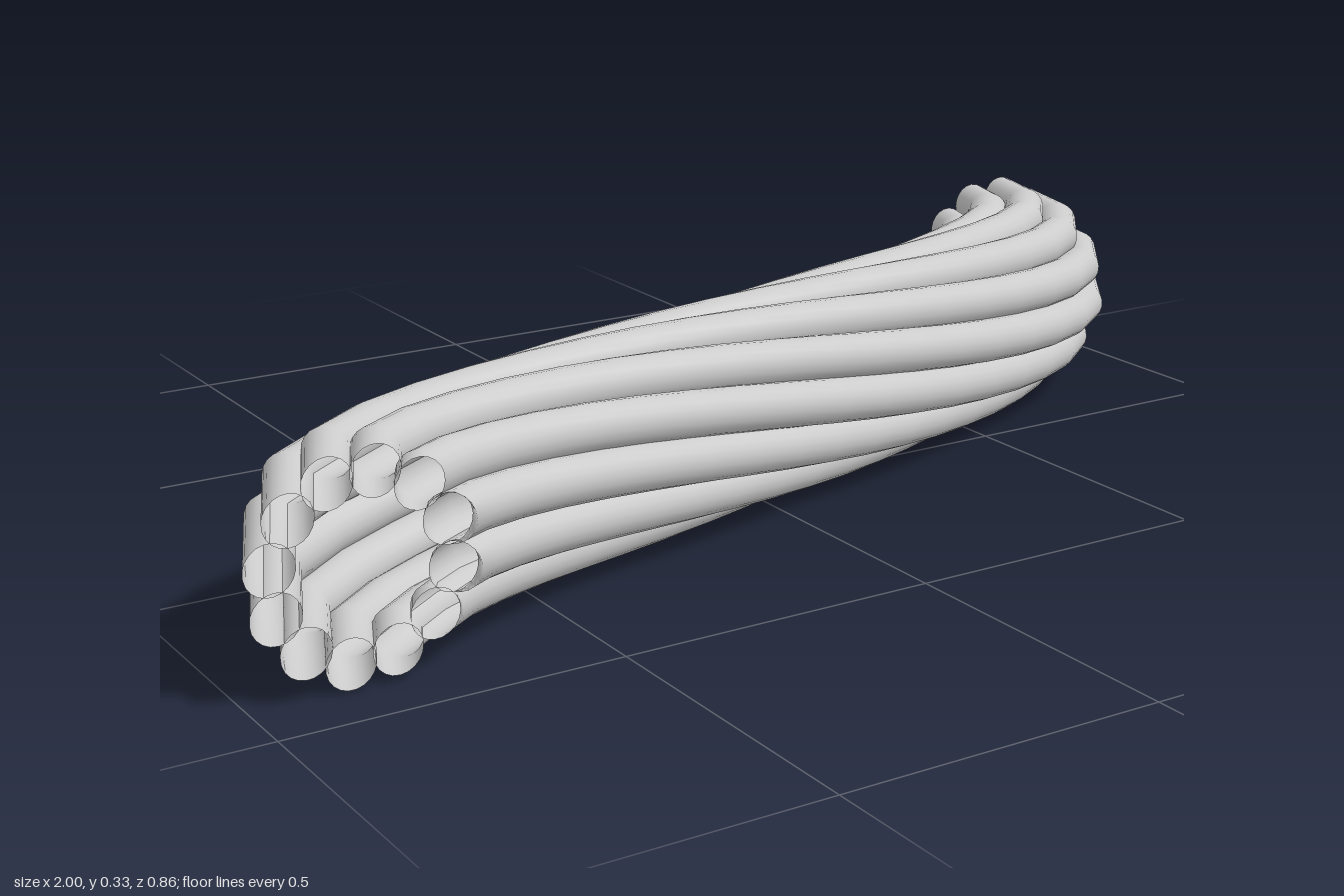
import * as THREE from 'three';

const STRANDS = 12, STEPS = 20, SIDES = 20;
const RING = 0.13, RADIUS = 0.0363, TWIST = Math.PI / 2;
const UP = new THREE.Vector3(0, 1, 0);

// S-shaped centre line of the bundle, leaving both ends along z
const path = new THREE.CubicBezierCurve3(
  new THREE.Vector3(-0.835, 0.167, 0.41),
  new THREE.Vector3(-0.835, 0.167, 0.06),
  new THREE.Vector3(0.835, 0.167, 0.06),
  new THREE.Vector3(0.835, 0.167, -0.428)
);

// Cross-section planes, evenly spaced, with an eased quarter-turn twist
const frames = Array.from({ length: STEPS + 1 }, (_, i) => {
  const u = i / STEPS;
  const side = path.getTangentAt(u).cross(UP).normalize();
  const twist = TWIST * (1 - THREE.MathUtils.smoothstep(u, 0, 1));
  return { centre: path.getPointAt(u), side, twist };
});

// One open tube swept through every plane at a given angle on the ring
function strandGeometry(angle) {
  const positions = [], indices = [];
  frames.forEach(({ centre, side, twist }, i) => {
    const a = angle + twist;
    for (let j = 0; j < SIDES; j++) {
      const b = a + (j / SIDES) * Math.PI * 2;
      const p = centre.clone()
        .addScaledVector(side, RING * Math.cos(a) + RADIUS * Math.cos(b))
        .addScaledVector(UP, RING * Math.sin(a) + RADIUS * Math.sin(b));
      positions.push(p.x, p.y, p.z);
      if (i < STEPS) {
        const k = (j + 1) % SIDES, r = i * SIDES, s = r + SIDES;
        indices.push(r + j, s + j, r + k, s + j, s + k, r + k);
      }
    }
  });
  const geometry = new THREE.BufferGeometry();
  geometry.setAttribute('position', new THREE.Float32BufferAttribute(positions, 3));
  geometry.setIndex(indices);
  geometry.computeVertexNormals();
  return geometry;
}

export function createModel() {
  const model = new THREE.Group();
  model.name = 'twistedTubeBundle';
  const material = new THREE.MeshStandardMaterial({ color: 0xcccccc, side: THREE.DoubleSide });

  // Hollow strands arranged in a ring
  for (let n = 0; n < STRANDS; n++) {
    const angle = THREE.MathUtils.degToRad(20) + (n / STRANDS) * Math.PI * 2;
    const strand = new THREE.Mesh(strandGeometry(angle), material);
    strand.name = `strand${n + 1}`;
    model.add(strand);
  }
  return model;
}
